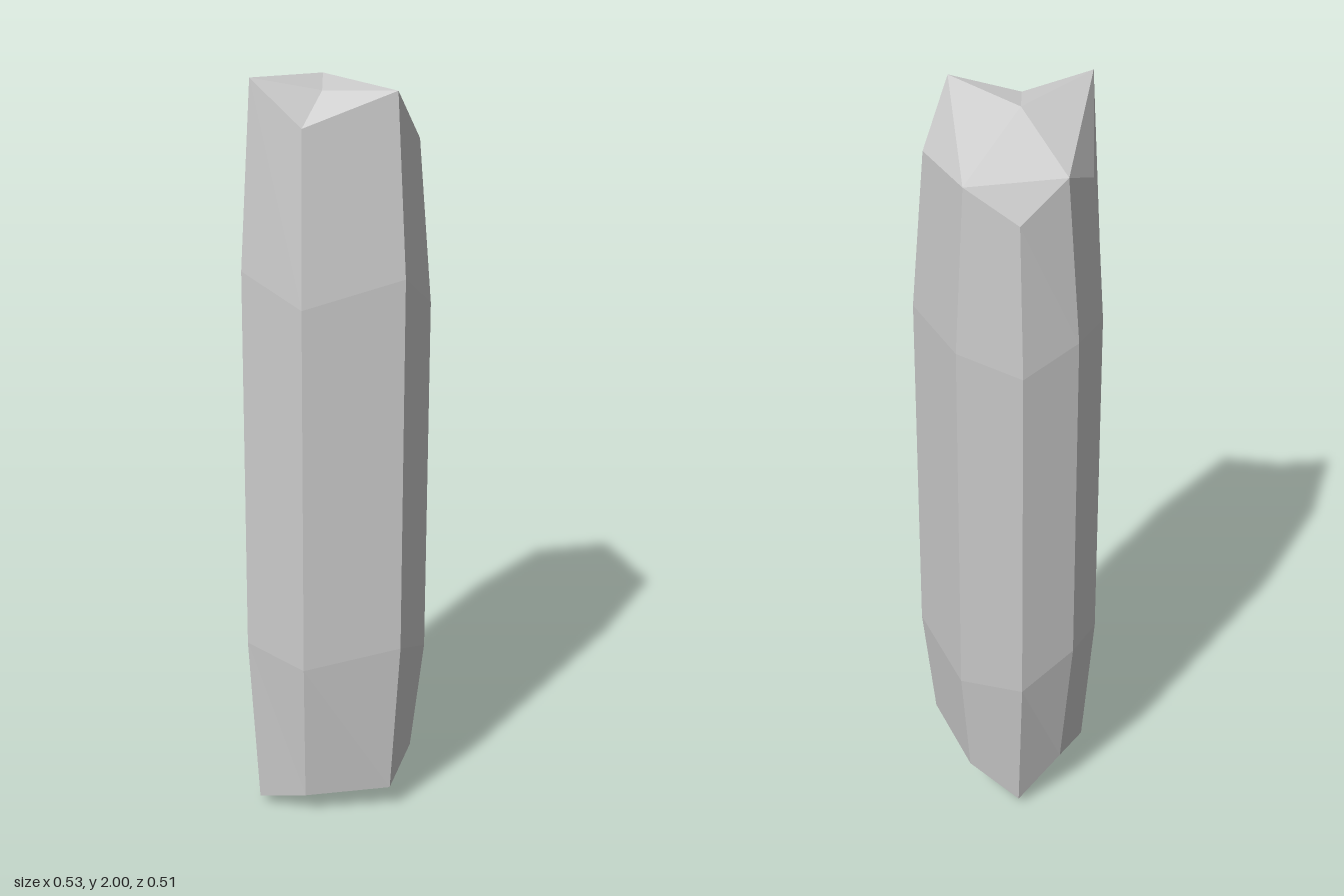
import * as THREE from 'three';

// Eight-sided outline [x, z], running from the back round by +x to the front
const body = [
  [0.01, -0.257], [0.16, -0.222], [0.265, -0.098], [0.16, 0.19],
  [0.007, 0.255], [-0.2, 0.107], [-0.265, -0.04], [-0.13, -0.195],
];
// Narrower outline shared by both ends
const end = [
  [0.012, -0.215], [0.145, -0.193], [0.23, -0.09], [0.137, 0.165],
  [0.01, 0.218], [-0.175, 0.083], [-0.23, -0.04], [-0.11, -0.172],
];

const ring = (outline, heights) =>
  outline.map(([x, z], i) => new THREE.Vector3(x, heights[i], z));

export function createModel() {
  const rings = [
    ring(end, [0.115, 0.02, 0.13, 0.13, 0.07, 0.06, 0.025, 0.1]),
    ring(body, [0.5, 0.42, 0.44, 0.44, 0.51, 0.46, 0.51, 0.48]),
    ring(body, [1.43, 1.37, 1.43, 1.41, 1.52, 1.45, 1.53, 1.42]),
    ring(end, [1.85, 1.76, 1.85, 1.83, 1.975, 1.89, 2, 1.8]),
  ];
  const pos = [];
  const tri = (...corners) => corners.forEach((p) => pos.push(p.x, p.y, p.z));

  // Long faceted sides
  for (let r = 0; r < 3; r++) {
    for (let i = 0; i < 8; i++) {
      const j = (i + 1) % 8;
      const lo = rings[r], hi = rings[r + 1];
      tri(lo[i], hi[i], hi[j]);
      tri(lo[i], hi[j], lo[j]);
    }
  }

  // Underside: a fan round the lowest point
  const foot = new THREE.Vector3(0.012, 0, -0.048);
  for (let i = 0; i < 8; i++) tri(foot, rings[0][i], rings[0][(i + 1) % 8]);

  // Broken top: irregular facets round a peak and a small notch
  const peak = new THREE.Vector3(0.012, 1.975, -0.048);
  const notch = new THREE.Vector3(-0.075, 1.96, 0.045);
  const [a, b, c, d, e, f, g, h] = rings[3];
  [
    [peak, a, g], [a, h, g], [peak, c, a], [c, b, a], [peak, e, c], [e, d, c],
    [peak, notch, e], [peak, g, notch], [notch, g, f], [notch, f, e],
  ].forEach((t) => tri(...t));

  const geometry = new THREE.BufferGeometry();
  geometry.setAttribute('position', new THREE.Float32BufferAttribute(pos, 3));
  geometry.computeVertexNormals();

  const crystal = new THREE.Mesh(
    geometry,
    new THREE.MeshStandardMaterial({ color: 0xcccccc, flatShading: true }),
  );
  crystal.name = 'crystalShard';

  const group = new THREE.Group();
  group.name = 'crystal';
  group.add(crystal);
  return group;
}
